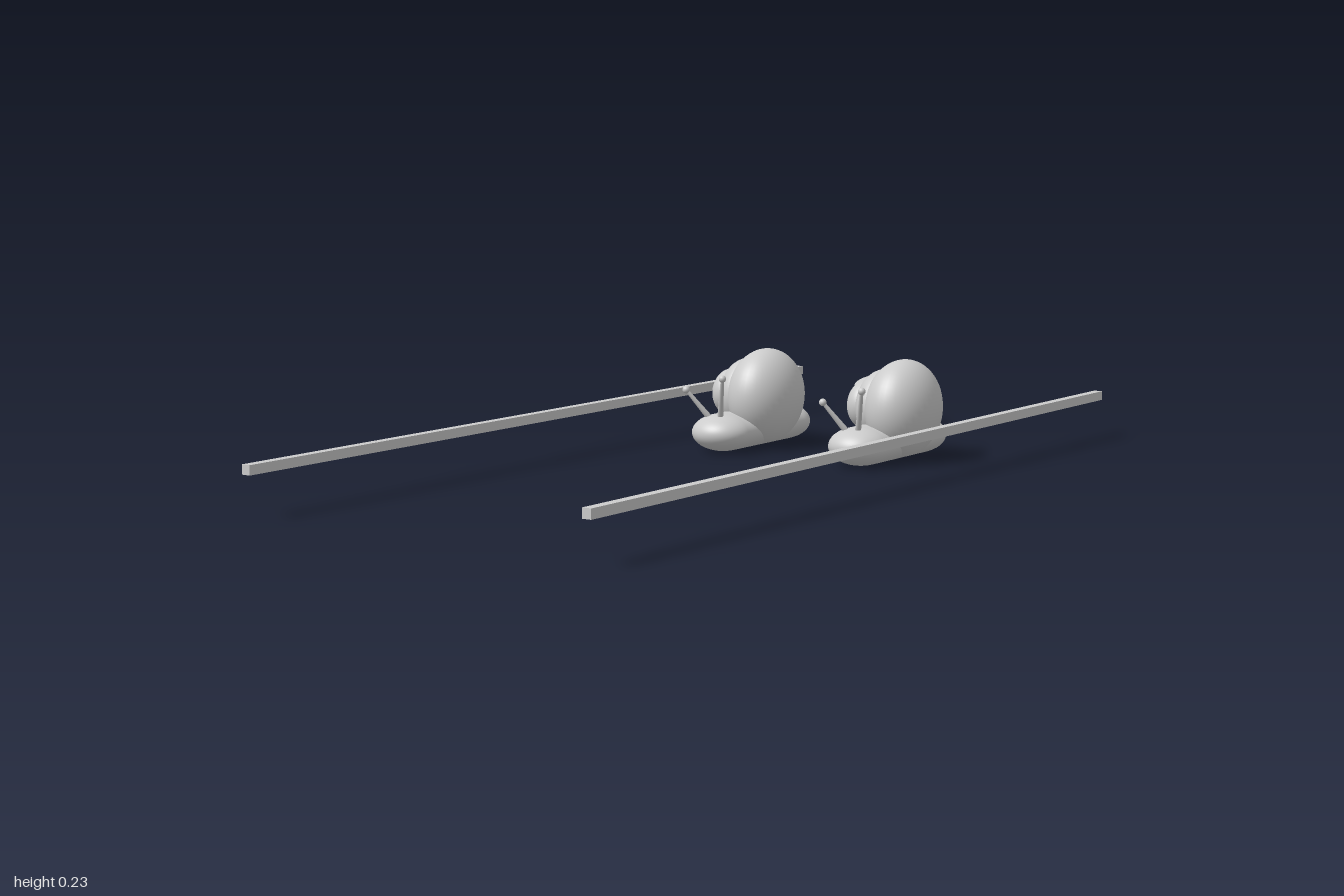
import * as THREE from 'three';

const material = new THREE.MeshStandardMaterial({ color: 0xcccccc });

function add(parent, name, geometry, x, y, z) {
  const mesh = new THREE.Mesh(geometry, material);
  mesh.name = name;
  mesh.position.set(x, y, z);
  parent.add(mesh);
  return mesh;
}

function ellipsoid(rx, ry, rz) {
  return new THREE.SphereGeometry(1, 40, 28).scale(rx, ry, rz);
}

// Tapered stalk with a small eye ball at its tip
function addStalk(parent, name, base, tip) {
  const a = new THREE.Vector3(...base), b = new THREE.Vector3(...tip);
  const dir = b.clone().sub(a);
  const mid = a.clone().add(b).multiplyScalar(0.5);
  const stalk = add(parent, name + 'Stalk', new THREE.CylinderGeometry(0.004, 0.0075, dir.length(), 16), mid.x, mid.y, mid.z);
  stalk.quaternion.setFromUnitVectors(new THREE.Vector3(0, 1, 0), dir.normalize());
  add(parent, name + 'Eye', new THREE.SphereGeometry(0.0085, 16, 12), b.x, b.y, b.z);
}

function createSnail() {
  const snail = new THREE.Group();
  snail.name = 'snail';

  // Flattened capsule foot lying along z
  const foot = new THREE.CapsuleGeometry(0.073, 0.236, 16, 40).rotateX(Math.PI / 2).scale(1, 0.6, 1);
  add(snail, 'body', foot, 0, 0.047, 0);

  // Shell whorls shrinking toward the model's right
  const whorls = [[0.042, 0.08, 0.111], [-0.01, 0.057, 0.085], [-0.056, 0.042, 0.057]];
  whorls.forEach(([x, rx, r], i) => add(snail, 'shellWhorl' + (i + 1), ellipsoid(rx, r, r), x, 0.124, 0.001));

  addStalk(snail, 'right', [-0.022, 0.075, 0.134], [-0.063, 0.148, 0.178]);
  addStalk(snail, 'left', [0.002, 0.07, 0.134], [0.042, 0.181, 0.181]);
  return snail;
}

export function createModel() {
  const model = new THREE.Group();
  model.name = 'snailTrack';

  // Long side rails
  for (const side of [-1, 1]) {
    add(model, side < 0 ? 'rightRail' : 'leftRail', new THREE.BoxGeometry(0.021, 0.021, 2), side * 0.431, 0.105, 0);
  }

  // Two identical snails side by side
  for (const x of [-0.182, 0.196]) {
    const snail = createSnail();
    snail.position.set(x, 0, -0.421);
    model.add(snail);
  }

  // Flat pebble behind them
  add(model, 'pebble', ellipsoid(0.083, 0.031, 0.083), -0.064, 0.105, -0.84);
  return model;
}
